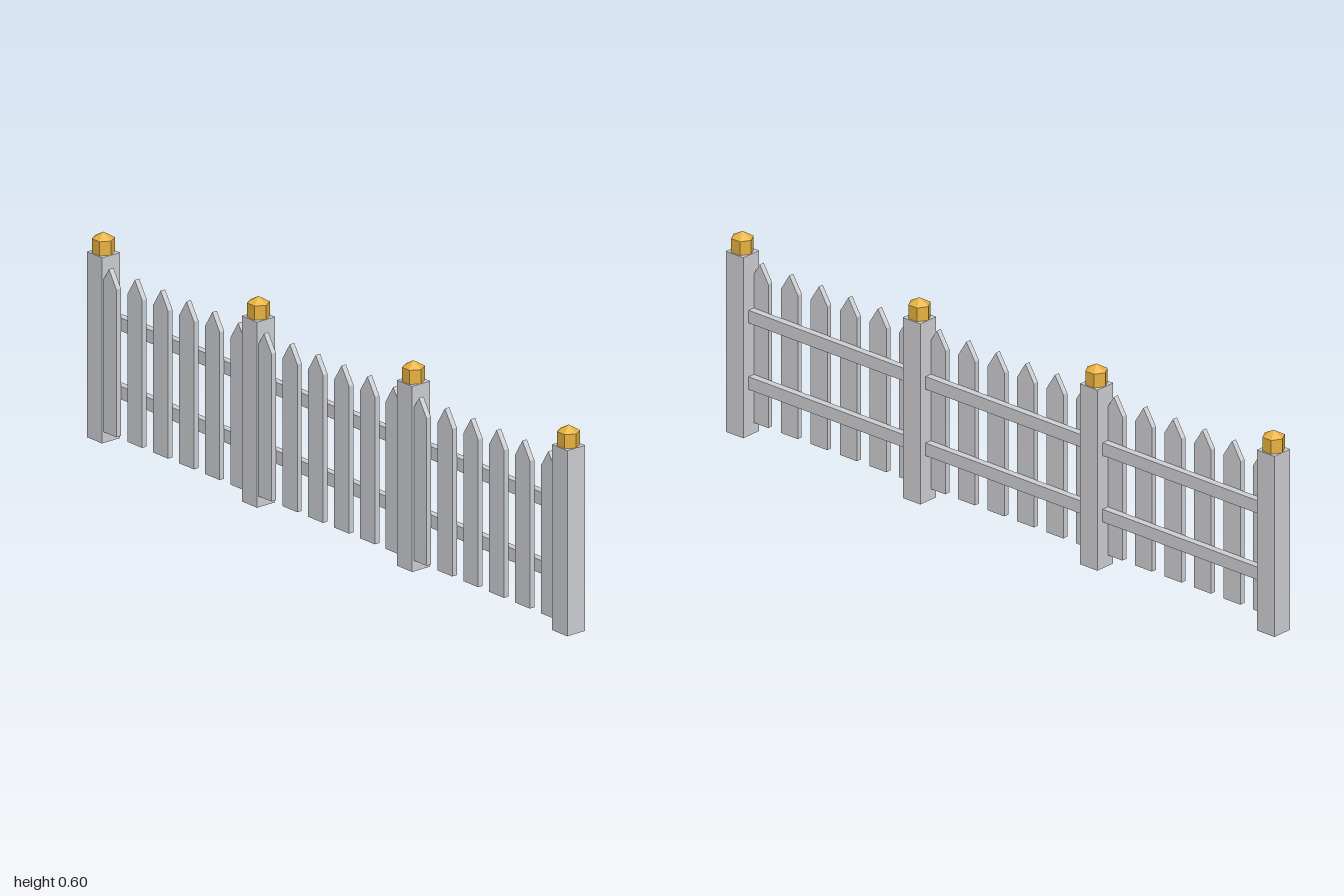
import * as THREE from 'three';

export function createModel() {
  const group = new THREE.Group();
  const grey = new THREE.MeshStandardMaterial({ color: 0xcfd0d4 });
  grey.name = 'pale grey paint';
  const gold = new THREE.MeshStandardMaterial({ color: 0xebb441 });
  gold.name = 'gold';

  const add = (name, geometry, material, x, y, z = 0) => {
    const mesh = new THREE.Mesh(geometry, material);
    mesh.name = name;
    mesh.position.set(x, y, z);
    group.add(mesh);
  };

  const postWidth = 0.064, postHeight = 0.538;
  const bays = 3, picketsPerBay = 6;
  const firstPost = -1 + postWidth / 2;
  const bayLength = (2 - postWidth) / bays;

  const postGeo = new THREE.BoxGeometry(postWidth, postHeight, postWidth);

  // Six-sided cap with a low pointed roof, corners on the x axis
  const hexagon = (top, height) => {
    const geometry = new THREE.CylinderGeometry(top, 0.032, height, 6).rotateY(Math.PI / 6).toNonIndexed();
    geometry.computeVertexNormals();
    return geometry;
  };
  const capGeo = hexagon(0.032, 0.041);
  const roofGeo = hexagon(0, 0.018);

  // Pointed picket board
  const w = 0.031;
  const outline = new THREE.Shape([
    [-w, 0.032], [w, 0.032], [w, 0.46], [0, 0.51], [-w, 0.46],
  ].map(([x, y]) => new THREE.Vector2(x, y)));
  const picketGeo = new THREE.ExtrudeGeometry(outline, { depth: 0.016, bevelEnabled: false });

  const railGeo = new THREE.BoxGeometry(bayLength - postWidth, 0.038, 0.021);

  // Posts and caps
  for (let i = 0; i <= bays; i++) {
    const x = firstPost + i * bayLength;
    add('post', postGeo, grey, x, postHeight / 2);
    add('postCap', capGeo, gold, x, 0.5585);
    add('postCapRoof', roofGeo, gold, x, 0.588);
  }

  // Rails and pickets of each bay
  for (let i = 0; i < bays; i++) {
    const start = firstPost + i * bayLength;
    for (const y of [0.157, 0.355]) add('rail', railGeo, grey, start + bayLength / 2, y);
    for (let j = 0; j < picketsPerBay; j++) {
      add('picket', picketGeo, grey, start + (j + 0.5) * bayLength / picketsPerBay, 0, 0.0105);
    }
  }
  return group;
}
